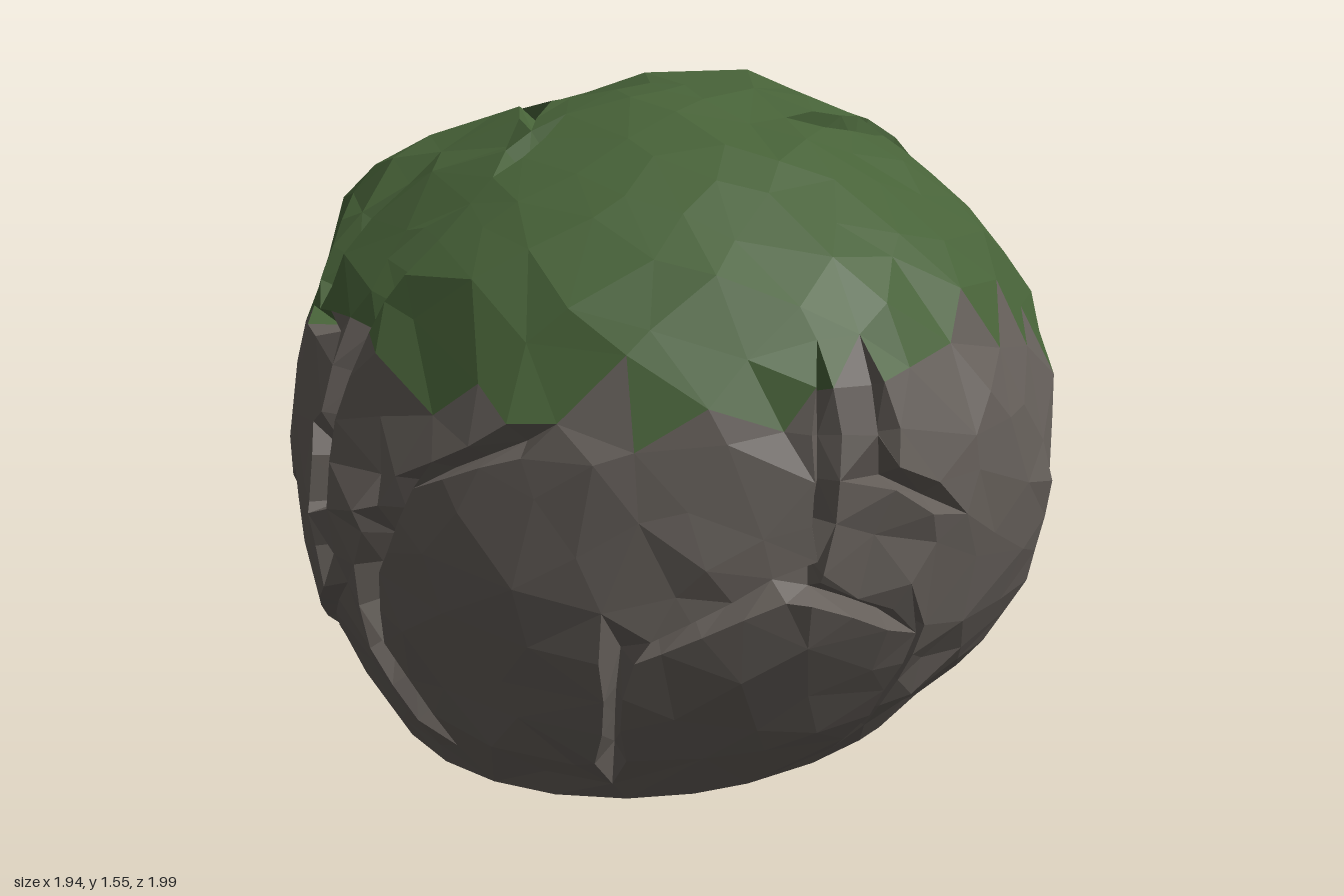
import * as THREE from 'three';
import { ConvexGeometry } from 'three/addons/geometries/ConvexGeometry.js';

const CENTRE = new THREE.Vector3(0, 0.65, 0);
const RAD = Math.PI / 180;

// Boulder outline: height, then reach towards +x, -x, +z, -z
const outline = [
  [0, 0.65, 0.63, 0.77, 0.68], [0.2, 0.81, 0.83, 0.87, 0.85], [0.4, 0.92, 0.94, 0.93, 0.95],
  [0.65, 0.975, 0.97, 0.95, 0.98], [0.85, 0.95, 0.94, 0.92, 0.96], [1.0, 0.89, 0.91, 0.88, 0.92],
  [1.2, 0.77, 0.86, 0.78, 0.8], [1.37, 0.54, 0.64, 0.56, 0.6], [1.48, 0.28, 0.33, 0.32, 0.42],
  [1.54, 0.1, 0.1, 0.08, 0.25], [1.55, 0, 0, 0, 0],
];
// Elevation of each outline row as seen from the centre
const elevations = outline.map(([y, a, b, c, d]) => [Math.atan2(y - CENTRE.y, (a + b + c + d) / 4), y]);

// Lower edge of the moss: azimuth in degrees (0 = +x, 90 = front), height
const mossEdge = [
  [0, 1.04], [12, 0.93], [18, 1.08], [30, 0.92], [58, 0.97], [82, 0.9], [97, 1.06], [115, 0.98],
  [140, 0.92], [165, 1.0], [200, 0.93], [230, 1.12], [250, 1.0], [290, 1.03], [328, 0.9], [340, 1.04], [360, 1.04],
];

// Cracks as paths of azimuth, height
const cracks = [
  [[90, 1.32], [98, 1.06], [102, 0.75], [102, 0.42], [122, 0.16]],
  [[60, 0.95], [82, 0.78], [90, 0.55], [91, 0.35], [82, 0.1]],
  [[24, 1.1], [27, 0.66], [52, 0.45], [55, 0.06]],
  [[118, 1.32], [116, 1.02], [104, 1.03]],
  [[152, 1.22], [157, 0.8], [153, 0.4]],
  [[125, 0.6], [140, 0.35], [132, 0.1]],
  [[17, 1.1], [16, 0.82], [4, 0.7]],
  [[33, 0.65], [10, 0.45], [12, 0.05]],
  [[-19, 0.76], [-22, 0.4], [-24, 0.05]],
  [[-74, 1.2], [-58, 1.4], [-15, 1.47]],
  [[150, 1.42], [127, 1.48], [92, 1.44], [90, 1.37]],
  [[170, 1.25], [185, 1.1], [196, 0.8], [195, 0.3]],
  [[215, 1.15], [214, 0.8], [218, 0.3]],
  [[255, 1.0], [248, 0.6], [236, 0.15]],
  [[-95, 0.85], [-88, 0.5], [-80, 0.2]],
];

// Small lumps: azimuth, height, outward push, width
const knobs = [
  [89, 0.7, 0.05, 0.08], [103, 0.62, 0.03, 0.1], [270, 0.85, 0.04, 0.16], [188, 0.9, 0.03, 0.2],
  [135, 1.3, 0.05, 0.18], [150, 1.12, 0.04, 0.15], [195, 0.5, 0.03, 0.2], [225, 0.6, 0.03, 0.25], [140, 0.5, 0.03, 0.25],
];

function seeded(seed) {
  return () => (seed = (seed * 16807) % 2147483647) / 2147483647;
}

// Interpolates the rows of a table whose first column is the key
function sample(table, key) {
  let i = 1;
  while (i < table.length - 1 && table[i][0] < key) i++;
  const [a, b] = [table[i - 1], table[i]];
  const t = THREE.MathUtils.clamp((key - a[0]) / (b[0] - a[0]), 0, 1);
  return a.map((v, k) => v + (b[k] - v) * t);
}

function surface(azimuth, y) {
  const c = Math.cos(azimuth), s = Math.sin(azimuth);
  const [, px, nx, pz, nz] = sample(outline, y);
  const r = c * c * (c > 0 ? px : nx) + s * s * (s > 0 ? pz : nz);
  return new THREE.Vector3(c * r, y, s * r);
}

// Moves a point away from or towards the centre
function push(p, amount) {
  return p.addScaledVector(p.clone().sub(CENTRE).normalize(), amount);
}

function boulderPoints() {
  const random = seeded(41);
  const points = [new THREE.Vector3(0, 0, 0)];

  // Flat base rim
  for (let i = 0; i < 30; i++) points.push(surface((i + random() * 0.5) / 30 * Math.PI * 2, 0));

  // Each crack is a sunken line between two lips
  const crackLine = [];
  for (const path of cracks) {
    const corners = path.map(([a, y]) => surface(a * RAD, y));
    for (let i = 0; i < corners.length - 1; i++) {
      const [a, b] = [path[i], path[i + 1]];
      const steps = Math.max(1, Math.round(corners[i].distanceTo(corners[i + 1]) / 0.1));
      const along = corners[i + 1].clone().sub(corners[i]);
      const last = i === corners.length - 2;
      for (let k = 0; k < steps + (last ? 1 : 0); k++) {
        const t = k / steps;
        const p = surface((a[0] + (b[0] - a[0]) * t) * RAD, a[1] + (b[1] - a[1]) * t);
        const side = along.clone().cross(p.clone().sub(CENTRE)).normalize();
        const isTip = (i === 0 && k === 0) || (last && k === steps);
        crackLine.push(p.clone());
        if (!isTip) {
          const width = 0.018 + random() * 0.02;
          for (const [s, lift] of [[1, 0.018], [-1, 0.002]]) {
            const lip = p.clone().addScaledVector(side, s * width);
            if (lip.y > 0.03) points.push(push(lip, lift));
          }
        }
        points.push(push(p, isTip ? 0 : -0.035 - random() * 0.03));
      }
    }
  }

  // Broad facets spread over the rest of the surface
  const count = 520;
  for (let i = 0; i < count; i++) {
    const e = Math.asin(1 - 2 * (i + 0.5) / count) + (random() - 0.5) * 0.08;
    const azimuth = i * 2.39996 + (random() - 0.5) * 0.1;
    if (e < elevations[0][0] + 0.08) continue;
    const p = surface(azimuth, sample(elevations, e)[1]);
    if (crackLine.some((q) => q.distanceTo(p) < 0.075)) continue;
    let lift = (random() - 0.5) * 0.026;
    for (const [a, y, out, width] of knobs) {
      const d = p.distanceTo(surface(a * RAD, y)) / width;
      lift += out * Math.exp(-d * d);
    }
    points.push(push(p, lift));
  }

  // Knob peaks
  for (const [a, y, out] of knobs) points.push(push(surface(a * RAD, y), out));
  return points;
}

export function createModel() {
  const group = new THREE.Group();
  group.name = 'mossyBoulder';

  // Joins neighbouring points by wrapping their directions on a sphere
  const keyOf = (x, y, z) => [x, y, z].map(Math.fround).join();
  const lookup = new Map();
  const directions = boulderPoints().map((p) => {
    const d = p.clone().sub(CENTRE).normalize();
    lookup.set(keyOf(d.x, d.y, d.z), p);
    return d;
  });
  const hull = new ConvexGeometry(directions).getAttribute('position');

  // Faces above the moss edge are moss, the others bare stone
  const stone = [], moss = [];
  for (let i = 0; i < hull.count; i += 3) {
    const tri = [0, 1, 2].map((k) => lookup.get(keyOf(hull.getX(i + k), hull.getY(i + k), hull.getZ(i + k))));
    const mid = tri[0].clone().add(tri[1]).add(tri[2]).divideScalar(3);
    const azimuth = (Math.atan2(mid.z, mid.x) / RAD + 360) % 360;
    const target = mid.y > sample(mossEdge, azimuth)[1] + 0.03 ? moss : stone;
    for (const p of tri) target.push(p.x, p.y, p.z);
  }

  for (const [name, positions, color] of [['stone', stone, 0x645e59], ['moss', moss, 0x476238]]) {
    const geometry = new THREE.BufferGeometry();
    geometry.setAttribute('position', new THREE.Float32BufferAttribute(positions, 3));
    geometry.computeVertexNormals();
    const mesh = new THREE.Mesh(geometry, new THREE.MeshStandardMaterial({ color, flatShading: true }));
    mesh.name = name;
    group.add(mesh);
  }
  return group;
}
